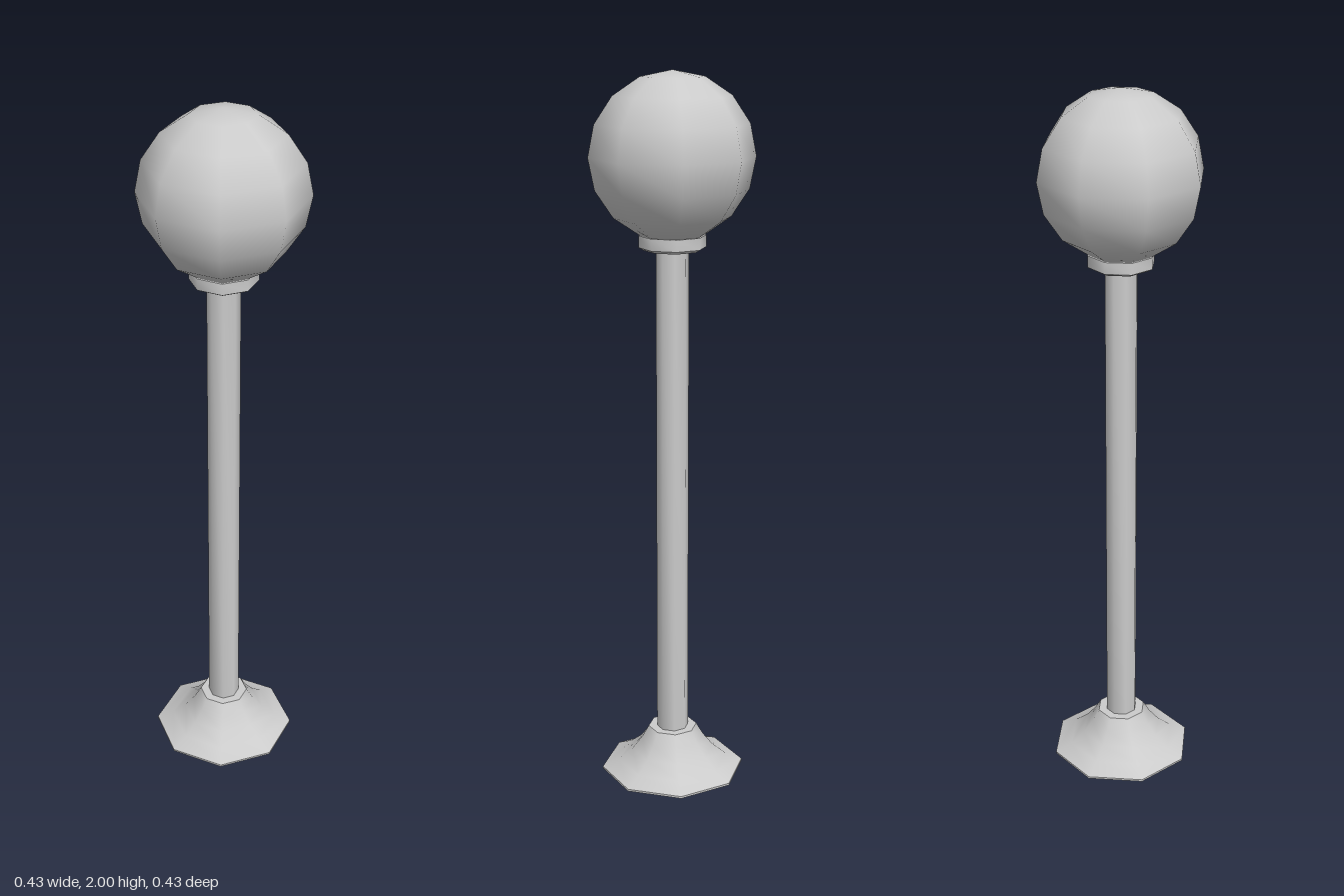
import * as THREE from 'three';
import { toCreasedNormals } from 'three/addons/utils/BufferGeometryUtils.js';

const SIDES = 8;
const CREASE = 0.9; // smooth around the octagon, sharp at the rims

export function createModel() {
  const group = new THREE.Group();
  group.name = 'globeLampPost';
  const material = new THREE.MeshStandardMaterial({ color: 0xcccccc });

  // Turned part from a [radius, height] profile running upward along the outside
  function turned(name, profile) {
    const points = profile.map(([r, y]) => new THREE.Vector2(r, y));
    const geometry = toCreasedNormals(new THREE.LatheGeometry(points, SIDES), CREASE);
    const mesh = new THREE.Mesh(geometry, material);
    mesh.name = name;
    group.add(mesh);
  }

  // Flared foot with a closed underside
  turned('base', [
    [0, 0], [0.206, 0], [0.206, 0.006], [0.157, 0.028], [0.118, 0.06],
    [0.09, 0.095], [0.07, 0.13], [0.04, 0.13],
  ]);

  // Slender pole
  turned('pole', [[0.045, 0.12], [0.045, 1.54]]);

  // Collar holding the globe
  turned('collar', [
    [0.04, 1.526], [0.078, 1.528], [0.092, 1.536], [0.092, 1.568], [0.07, 1.568],
  ]);

  // Globe
  const globe = new THREE.Mesh(new THREE.SphereGeometry(0.225, SIDES, 8), material);
  globe.name = 'globe';
  globe.position.y = 1.775;
  group.add(globe);

  // The octagonal sections are turned off the axes
  group.children.forEach((part) => { part.rotation.y = THREE.MathUtils.degToRad(-17.5); });
  return group;
}
